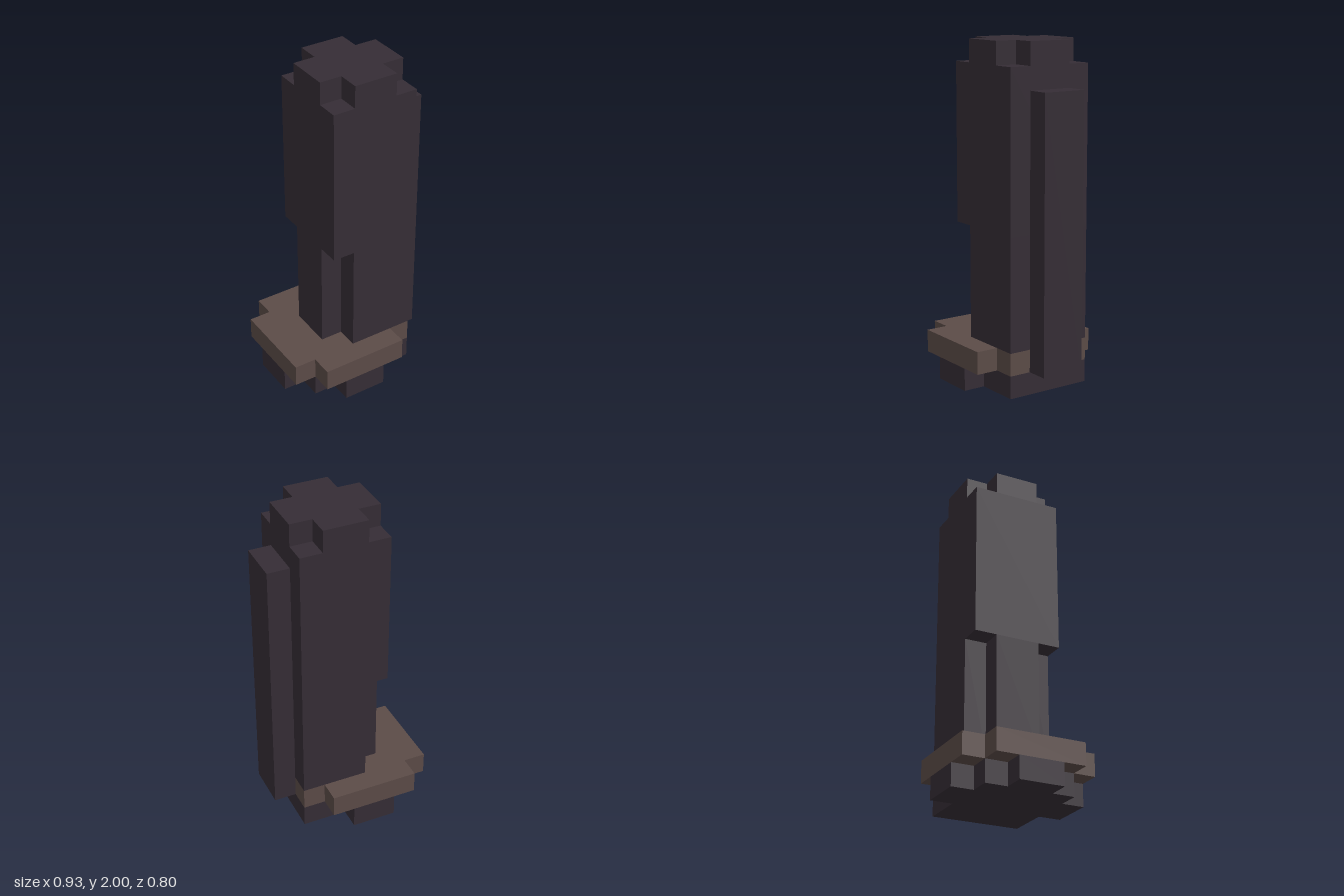
import * as THREE from 'three';

const U = 2 / 15; // edge of one block

// Solid layer from stepped spans [x0, x1, halfDepth], mirrored front to back (block units)
function layer(name, material, y0, y1, spans) {
  const near = spans.flatMap(([x0, x1, h]) => [[x0, -h], [x1, -h]]);
  const far = near.map(([x, z]) => [x, -z]).reverse();
  const outline = [...near, ...far].map(([x, z]) => new THREE.Vector2(x * U, z * U));
  const geometry = new THREE.ExtrudeGeometry(new THREE.Shape(outline), {
    depth: (y1 - y0) * U,
    bevelEnabled: false,
  });
  geometry.rotateX(-Math.PI / 2);
  const mesh = new THREE.Mesh(geometry, material);
  mesh.name = name;
  mesh.position.y = y0 * U;
  return mesh;
}

export function createModel() {
  const dark = new THREE.MeshStandardMaterial({ color: 0x352d35 });
  dark.name = 'dark plum';
  const brown = new THREE.MeshStandardMaterial({ color: 0x5b4b47 });
  brown.name = 'dull brown';

  const model = new THREE.Group();
  model.name = 'tower';
  model.add(
    // stepped foot
    layer('base', dark, 0, 1, [[-3.5, -2.5, 1], [-2.5, -1.5, 2], [-1.5, 0.5, 3], [0.5, 2.5, 2]]),
    // wide brim above the foot
    layer('brim', brown, 1, 2, [[-3.5, -2.5, 2], [-2.5, 1.5, 3], [1.5, 2.5, 2]]),
    // column, with two corners notched low down
    layer('lowerColumn', dark, 2, 7, [[-1.5, -0.5, 1], [-0.5, 2.5, 2]]),
    layer('upperColumn', dark, 7, 14, [[-1.5, 2.5, 2]]),
    // cross-shaped top
    layer('crown', dark, 14, 15, [[-1.5, -0.5, 1], [-0.5, 1.5, 2], [1.5, 2.5, 1]]),
    // upright rib on one side
    layer('sideRib', dark, 1, 13, [[2.5, 3.5, 1]]),
  );
  return model;
}
